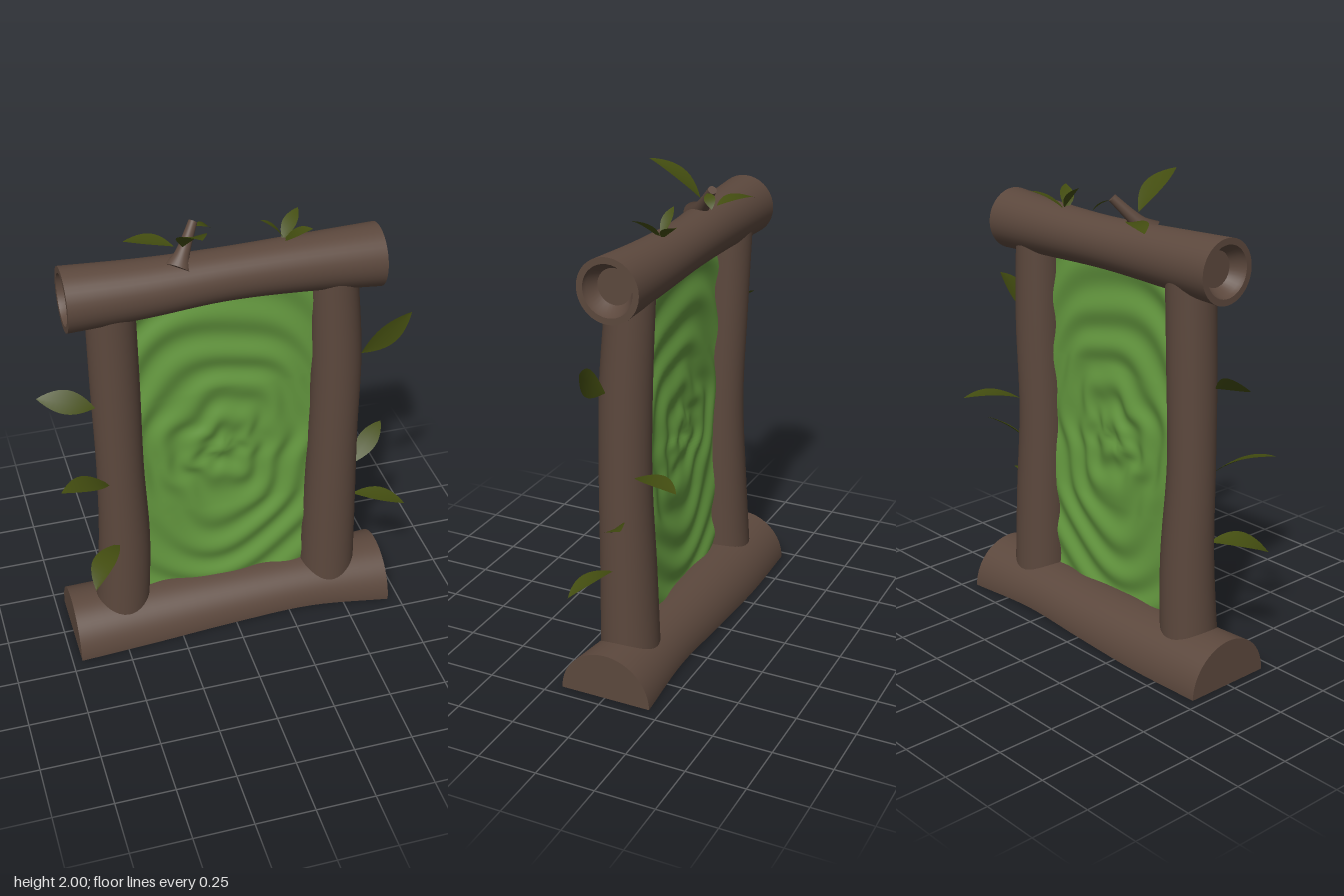
import * as THREE from 'three';
import { toCreasedNormals } from 'three/addons/utils/BufferGeometryUtils.js';

const V = (a) => new THREE.Vector3(...a);

// Log along y from y0 to y1; keys are evenly spaced [x offset, z offset, radius]
function logGeometry(keys, y0, y1, { open = false, start = 0, sweep = Math.PI * 2 } = {}) {
  const geo = new THREE.CylinderGeometry(1, 1, 1, 36, 24, open, start, sweep);
  const curve = new THREE.CatmullRomCurve3(keys.map(V), false, 'catmullrom');
  const pos = geo.attributes.position;
  for (let i = 0; i < pos.count; i++) {
    const t = THREE.MathUtils.clamp(pos.getY(i) + 0.5, 0, 1);
    const k = curve.getPoint(t);
    pos.setXYZ(i, k.x + pos.getX(i) * k.z, y0 + (y1 - y0) * t, k.y + pos.getZ(i) * k.z);
  }
  return geo;
}

// Same log laid along x; keys are [y offset, z offset, radius]
function lyingLog(keys, x0, x1, options) {
  const turned = keys.map(([y, z, r]) => [-y, z, r]);
  return logGeometry(turned, x0, x1, options).rotateZ(-Math.PI / 2);
}

// Pointed leaf arched along its length and folded a little on the midrib
function leafGeometry(base, tip, up, width, bend) {
  const a = V(base), b = V(tip);
  const dir = b.clone().sub(a).normalize();
  const n = V(up).addScaledVector(dir, -V(up).dot(dir)).normalize();
  const side = dir.clone().cross(n);
  const mid = a.clone().lerp(b, 0.5).addScaledVector(n, bend * 2);
  const curve = new THREE.QuadraticBezierCurve3(a, mid, b);
  const rows = 12, points = [], index = [];
  for (let i = 0; i <= rows; i++) {
    const t = i / rows, p = curve.getPoint(t);
    const w = width / 2 * Math.max(0.03 * (1 - t), Math.sin(Math.PI * t) ** 0.9);
    for (const s of [-1, 0, 1]) {
      const q = p.clone().addScaledVector(side, s * w).addScaledVector(n, Math.abs(s) * w * 0.12);
      points.push(q.x, q.y, q.z);
    }
    if (i < rows) for (const c of [0, 1]) {
      const k = i * 3 + c;
      index.push(k, k + 1, k + 3, k + 1, k + 4, k + 3);
    }
  }
  const geo = new THREE.BufferGeometry();
  geo.setAttribute('position', new THREE.Float32BufferAttribute(points, 3));
  geo.setIndex(index);
  geo.computeVertexNormals();
  return geo;
}

export function createModel() {
  const group = new THREE.Group();
  const material = (name, color) => {
    const m = new THREE.MeshStandardMaterial({ color, side: THREE.DoubleSide });
    m.name = name;
    return m;
  };
  const bark = material('bark', 0x5c483d);
  const green = material('rippled green', 0x64983f);
  const leafGreen = material('leaf green', 0x434d10);
  const add = (name, geo, mat) => {
    const mesh = new THREE.Mesh(geo, mat);
    mesh.name = name;
    group.add(mesh);
    return mesh;
  };

  // Hollow half log at the foot
  add('baseLog', lyingLog(
    [[0, 0, 0.197], [0, -0.015, 0.19], [0.005, -0.02, 0.174], [0.012, -0.015, 0.166], [0, -0.003, 0.197]],
    -0.71, 0.7, { start: Math.PI, sweep: Math.PI }), bark);

  // Uprights
  add('rightPost', logGeometry(
    [[-0.485, 0, 0.12], [-0.46, 0.005, 0.11], [-0.465, 0.015, 0.098], [-0.468, 0.005, 0.1], [-0.47, -0.012, 0.099]],
    0.08, 1.68), bark);
  add('leftPost', logGeometry(
    [[0.463, 0, 0.124], [0.463, 0.005, 0.115], [0.46, 0.015, 0.106], [0.464, 0.005, 0.104], [0.443, -0.012, 0.095]],
    0.08, 1.68), bark);

  // Crossbar with hollowed ends
  const endRadius = 0.13;
  add('topLog', lyingLog(
    [[1.705, -0.004, endRadius], [1.703, -0.004, 0.117], [1.704, -0.018, 0.106], [1.703, -0.018, 0.114], [1.702, -0.004, endRadius]],
    -0.655, 0.62, { open: true }), bark);
  const hollow = [[endRadius, 0], [0.104, 0], [0.098, -0.02], [0.072, -0.06], [0, -0.06]];
  for (const [s, x, y] of [[1, 0.62, 1.702], [-1, -0.655, 1.705]]) {
    const lathe = new THREE.LatheGeometry(hollow.map(([r, h]) => new THREE.Vector2(r, h)), 36);
    const end = add('hollowEnd', toCreasedNormals(lathe, 0.7), bark);
    end.rotation.z = -s * Math.PI / 2;
    end.position.set(x, y, -0.004);
  }

  // Broken twig on the crossbar
  const from = V([-0.205, 1.775, 0.015]), to = V([-0.112, 1.912, -0.092]);
  const twig = add('twig', logGeometry(
    [[0, 0, 0.06], [0, 0, 0.034], [0, 0, 0.025], [0, 0, 0.021], [0, 0, 0.018]], 0, from.distanceTo(to)), bark);
  twig.position.copy(from);
  twig.quaternion.setFromUnitVectors(V([0, 1, 0]), to.clone().sub(from).normalize());

  // Sheet with uneven, upright oval ripples
  const sheet = new THREE.PlaneGeometry(0.86, 1.48, 80, 120).translate(0, 0.885, 0);
  const p = sheet.attributes.position;
  for (let i = 0; i < p.count; i++) {
    const x = p.getX(i) + 0.02, y = p.getY(i) - 0.87;
    const angle = Math.atan2(y, x);
    const r = Math.hypot(x, y / (1 + 0.35 * Math.min(1, Math.abs(y) / 0.3)));
    const wobble = Math.min(1, r / 0.15) * (0.9 * Math.sin(3 * angle + 9 * r) + 0.5 * Math.sin(7 * angle - 6 * r));
    p.setZ(i, 0.0085 * Math.cos(r * 2 * Math.PI / 0.125 + wobble));
  }
  sheet.computeVertexNormals();
  add('rippledSheet', sheet, green);

  // Leaves: base, tip, upper side, width, arch
  const leaves = [
    // on the crossbar
    [[-0.175, 1.855, -0.01], [-0.155, 2.0, 0.21], [0, 1, -0.5], 0.11, 0.025],
    [[-0.195, 1.825, -0.075], [-0.375, 1.825, -0.165], [0, 1, 0], 0.085, 0.018],
    [[-0.105, 1.9, -0.075], [-0.035, 1.855, -0.125], [0.3, 1, 0], 0.045, 0.01],
    [[0.235, 1.8, -0.04], [0.33, 1.88, -0.145], [0, 1, 0], 0.06, 0.012],
    [[0.235, 1.8, -0.035], [0.33, 1.885, 0.045], [0, 1, 0.3], 0.06, 0.012],
    [[0.24, 1.81, -0.04], [0.142, 1.905, -0.045], [0, 1, 0], 0.045, 0.012],
    // on the left post
    [[0.56, 1.27, 0.045], [0.775, 1.425, 0.035], [0.1, 0, 1], 0.105, 0.012],
    [[0.53, 0.92, -0.06], [0.635, 0.945, -0.29], [0, 1, 0], 0.1, 0.022],
    [[0.56, 0.68, 0.02], [0.728, 0.79, -0.1], [-0.2, 0.7, 0.6], 0.085, 0.015],
    [[0.565, 0.51, 0.02], [0.78, 0.475, 0.11], [0, 1, 0.1], 0.085, 0.025],
    // on the right post
    [[-0.56, 1.215, 0.045], [-0.785, 1.272, 0], [0, 0.75, 0.65], 0.1, 0.015],
    [[-0.525, 0.845, 0.08], [-0.745, 0.945, 0.205], [0.35, 1, 0], 0.1, 0.022],
    [[-0.5, 0.53, 0.09], [-0.645, 0.475, 0.29], [-0.35, 1, 0.1], 0.11, 0.035],
  ];
  for (const leaf of leaves) add('leaf', leafGeometry(...leaf), leafGreen);

  return group;
}
